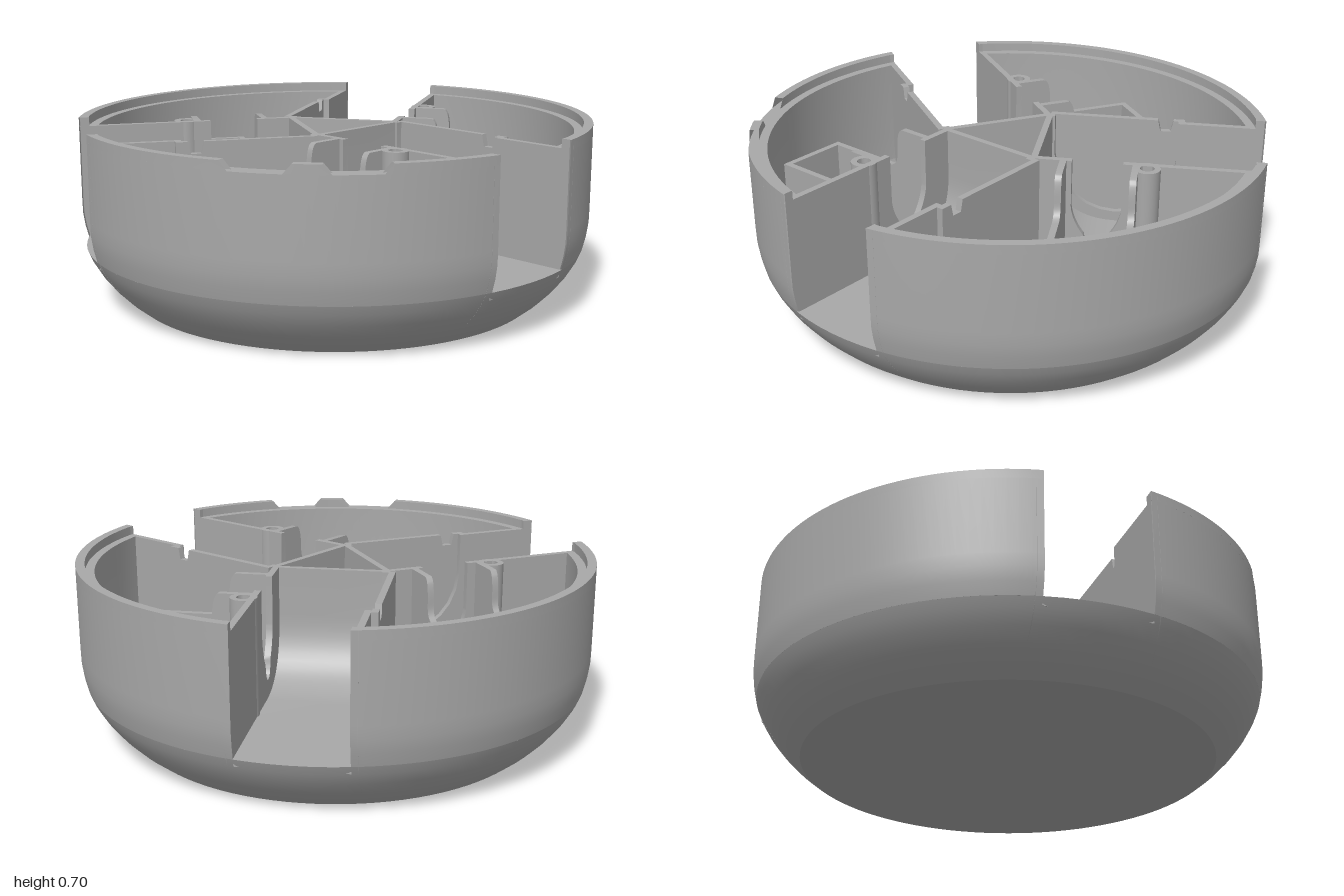
import * as THREE from 'three';
import { toCreasedNormals } from 'three/addons/utils/BufferGeometryUtils.js';

const grey = new THREE.MeshStandardMaterial({ color: 0xa8a8a8, side: THREE.DoubleSide });
grey.name = 'grey plastic';

const HALF = 0.2;      // half width of a channel
const T = 0.025;       // wall thickness
const FLOOR = 0.03;    // compartment floor
const DECK = 0.22;     // channel floor
const TOP = 0.665;     // top of the inner walls
const RIM = 0.7;       // top of the outer lip

function mesh(name, geometry) {
  const m = new THREE.Mesh(geometry, grey);
  m.name = name;
  return m;
}

// Turned ring; limits(r, y) gives the start and end angle for every point
function ring(name, profile, limits, segments = 96) {
  const pts = profile.map(([r, y]) => new THREE.Vector2(r, y));
  const geo = new THREE.LatheGeometry(pts, segments);
  if (limits) {
    const p = geo.attributes.position, uv = geo.attributes.uv;
    for (let i = 0; i < p.count; i++) {
      const pt = pts[i % pts.length];
      const [a, b] = limits(pt.x, pt.y);
      const phi = THREE.MathUtils.lerp(a, b, uv.getX(i));
      p.setX(i, pt.x * Math.sin(phi));
      p.setZ(i, pt.x * Math.cos(phi));
    }
  }
  return mesh(name, toCreasedNormals(geo, 0.6));
}

function polygon(points) {
  return new THREE.Shape(points.map(([x, y]) => new THREE.Vector2(x, y)));
}

// Upright plate running outwards along -z, drawn as (distance, height)
function radialPlate(name, shape, x, thickness) {
  const geo = new THREE.ExtrudeGeometry(shape, { depth: thickness, bevelEnabled: false, curveSegments: 12 });
  geo.rotateY(Math.PI / 2).translate(x, 0, 0);
  return mesh(name, toCreasedNormals(geo, 0.6));
}

function block(name, x0, x1, y0, y1, z0, z1) {
  const geo = new THREE.BoxGeometry(x1 - x0, y1 - y0, z1 - z0);
  geo.translate((x0 + x1) / 2, (y0 + y1) / 2, (z0 + z1) / 2);
  return mesh(name, geo);
}

// Bowl profiles
const outerLow = [[0.8, 0], [0.85, 0.04], [0.895, 0.085], [0.935, 0.135], [0.965, 0.185], [0.98, DECK]];
const outerHigh = [[0.98, DECK], [0.992, 0.27], [0.999, 0.32], [1, 0.37], [1, TOP]];
const innerHigh = [[0.93, TOP], [0.93, 0.33], [0.922, DECK]];
const innerLow = [[0.922, DECK], [0.905, 0.16], [0.86, 0.095], [0.79, FLOOR]];

// Outer end of a channel wall, following the bowl
const wallEnd = [...outerLow.slice(2), ...outerHigh.slice(1), [1, RIM]]
  .map(([r, y]) => [Math.sqrt(r * r - (HALF + T) ** 2), y]);
const wallTop = [[0.94, RIM], [0.94, TOP]];

// Channel wall with the rounded shaft slot
function slottedWall() {
  const s = polygon([[0.115, 0.02], [0.76, 0.02], ...wallEnd, ...wallTop, [0.46, TOP]]);
  s.lineTo(0.46, 0.48);
  s.quadraticCurveTo(0.455, 0.42, 0.41, 0.36);
  s.quadraticCurveTo(0.4, 0.29, 0.365, 0.29);
  s.quadraticCurveTo(0.33, 0.29, 0.32, 0.36);
  s.quadraticCurveTo(0.275, 0.42, 0.27, 0.48);
  s.lineTo(0.27, TOP);
  s.lineTo(0.115, TOP);
  return radialPlate('slotted channel wall', s, HALF, T);
}

// Channel wall with a shallow recess, closed by a plate set back behind it
function recessedWall() {
  const g = new THREE.Group();
  g.name = 'recessed channel wall';
  const s = polygon([[0.115, 0.02], [0.76, 0.02], ...wallEnd, ...wallTop, [0.64, TOP]]);
  s.lineTo(0.64, 0.5);
  s.bezierCurveTo(0.62, 0.18, 0.18, 0.18, 0.15, 0.5);
  s.lineTo(0.15, TOP);
  s.lineTo(0.115, TOP);
  g.add(radialPlate('front wall', s, -HALF - T, T));
  const back = polygon([[0.13, 0.02], [0.665, 0.02], [0.665, TOP], [0.62, TOP], [0.61, 0.62],
    [0.57, 0.62], [0.56, TOP], [0.13, TOP]]);
  g.add(radialPlate('recess back', back, -HALF - 2 * T, T));
  return g;
}

// Channel floor sweeping up into the end wall that closes the hub
function channelFloor() {
  const s = polygon([[0.115, FLOOR], [0.14, FLOOR], [0.14, 0.19], [0.95, 0.19], [0.95, DECK], [0.4, DECK]]);
  s.bezierCurveTo(0.24, DECK, 0.14, 0.3, 0.14, 0.48);
  s.lineTo(0.14, TOP);
  s.lineTo(0.115, TOP);
  return radialPlate('channel floor', s, -HALF, 2 * HALF);
}

// Open motor box beside a channel, with its screw post
function motorBox() {
  const g = new THREE.Group();
  g.name = 'motor box';
  const side = polygon([[HALF, 0.02], [0.55, 0.02], [0.74, 0.14], [0.74, 0.5], [0.42, 0.5]]);
  side.quadraticCurveTo(0.37, 0.5, 0.37, 0.56);
  side.quadraticCurveTo(0.37, TOP, 0.34, TOP);
  side.lineTo(HALF, TOP);
  for (const z of [-0.52, -0.25]) {
    const geo = new THREE.ExtrudeGeometry(side, { depth: T, bevelEnabled: false, curveSegments: 8 });
    geo.translate(0, 0, z);
    g.add(mesh('box side', toCreasedNormals(geo, 0.6)));
  }
  g.add(block('box end', 0.715, 0.74, 0.14, 0.5, -0.52, -0.225));
  const post = ring('screw post', [[0.05, 0.02], [0.05, TOP], [0.026, TOP], [0.026, 0.4], [0, 0.4]], null, 24);
  post.position.set(0.245, 0, -0.55);
  g.add(post);
  return g;
}

export function createModel() {
  const model = new THREE.Group();
  model.name = 'three channel housing';
  const body = new THREE.Group();
  body.name = 'body';
  body.position.z = -0.01;
  model.add(body);

  body.add(ring('bowl base', [[0, 0], ...outerLow, ...innerLow, [0, FLOOR]]));

  const third = Math.PI / 3;
  const edge = (r) => third - Math.asin(HALF / r);
  const shell = [...outerHigh, ...innerHigh, [0.98, DECK]];
  const lip = [[0.965, TOP], [1, TOP], [1, RIM], [0.965, RIM], [0.965, TOP]];
  // slope of the lip notches: narrower at the bottom
  const slope = (y) => (RIM - y) * 0.9;

  for (let i = 0; i < 3; i++) {
    const sector = new THREE.Group();
    sector.name = 'sector ' + (i + 1);
    sector.rotation.y = -i * 2 * third;

    // channel
    sector.add(channelFloor(), slottedWall(), recessedWall(), motorBox());

    // bowl wall between two channels, opposite this channel
    sector.add(ring('bowl wall', shell, (r) => [-edge(r), edge(r)], 40));

    // lip, with two cable notches in the front sector only
    if (i === 0) {
      sector.add(ring('lip right', lip, (r, y) => [-edge(r), -0.125 + slope(y)], 20));
      sector.add(ring('lip middle', lip, (r, y) => [0.125 - slope(y), 0.225 + slope(y)], 6));
      sector.add(ring('lip left', lip, (r, y) => [0.457 - slope(y), edge(r)], 16));
    } else {
      sector.add(ring('lip', lip, (r) => [-edge(r), edge(r)], 40));
    }
    body.add(sector);
  }
  return model;
}
